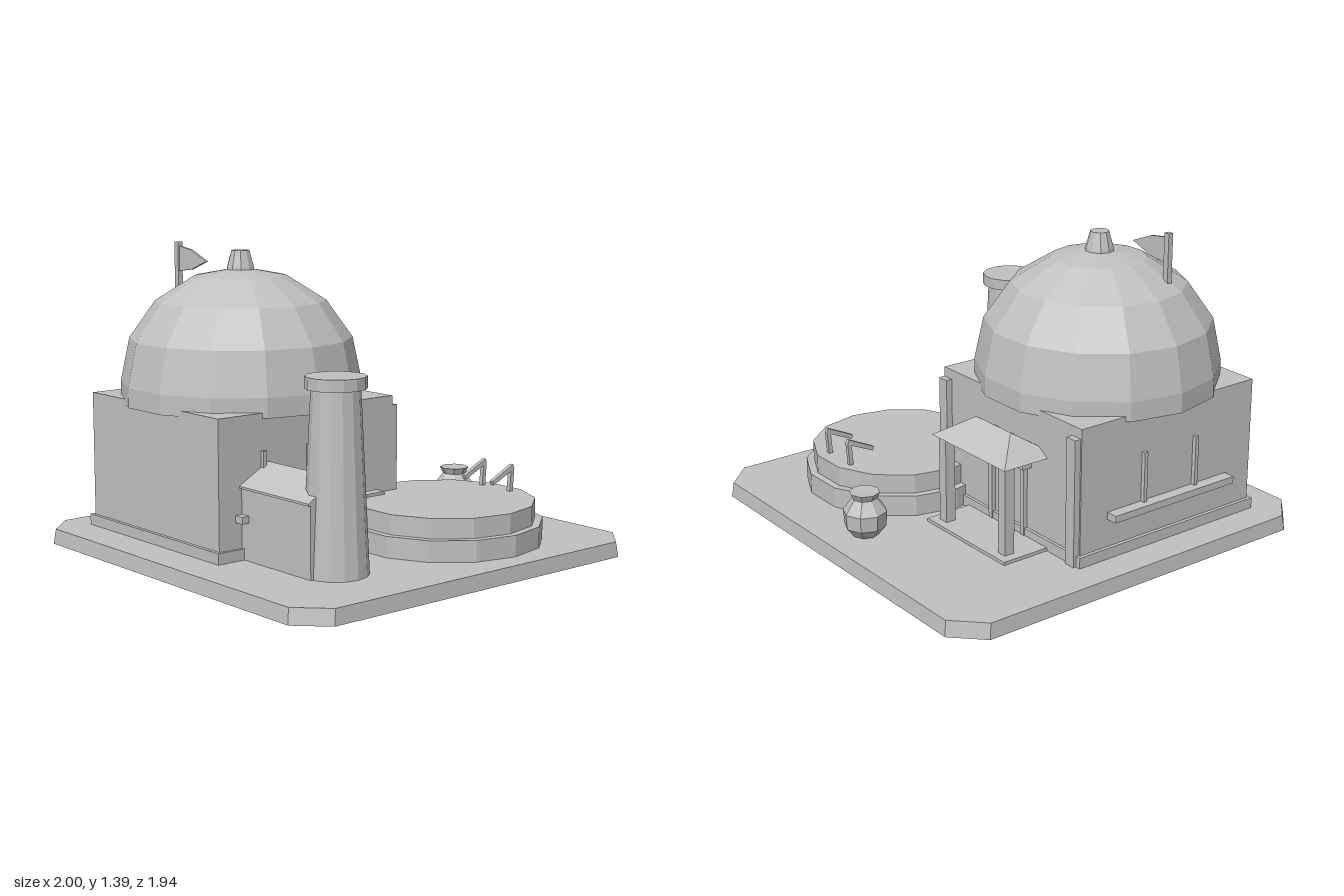
import * as THREE from 'three';

const stone = new THREE.MeshStandardMaterial({ color: 0xc0c0c0, flatShading: true, side: THREE.DoubleSide });
stone.name = 'pale stone';

export function createModel() {
  const root = new THREE.Group();
  root.name = 'domedHouse';

  const add = (name, geometry) => {
    const mesh = new THREE.Mesh(geometry, stone);
    mesh.name = name;
    root.add(mesh);
    return mesh;
  };
  // Box given by its extents on each axis
  const box = (name, x0, x1, y0, y1, z0, z1) => {
    const m = add(name, new THREE.BoxGeometry(x1 - x0, y1 - y0, z1 - z0));
    m.position.set((x0 + x1) / 2, (y0 + y1) / 2, (z0 + z1) / 2);
    return m;
  };
  // Faceted turned part with a corner pointing along x
  const turned = (name, x, z, sides, profile) => {
    const pts = profile.map(([r, y]) => new THREE.Vector2(r, y));
    const m = add(name, new THREE.LatheGeometry(pts, sides, Math.PI / 2));
    m.position.set(x, 0, z);
    return m;
  };
  const faces = (points, index) => {
    const g = new THREE.BufferGeometry();
    g.setAttribute('position', new THREE.Float32BufferAttribute(points.flat(), 3));
    g.setIndex(index);
    const flat = g.toNonIndexed();
    flat.computeVertexNormals();
    return flat;
  };

  // Ground slab: chamfered, slightly tapered, open underneath
  const ring = (hx, hz, y, c = 0.13) => [
    [hx, y, hz - c], [hx, y, c - hz], [hx - c, y, -hz], [c - hx, y, -hz],
    [-hx, y, c - hz], [-hx, y, hz - c], [c - hx, y, hz], [hx - c, y, hz],
  ];
  const slabIndex = [];
  for (let i = 0; i < 8; i++) {
    const j = (i + 1) % 8;
    slabIndex.push(i, j, 8 + j, i, 8 + j, 8 + i);
    if (i > 0 && i < 7) slabIndex.push(8, 8 + i, 9 + i);
  }
  add('groundSlab', faces([...ring(1, 0.972, 0), ...ring(0.992, 0.963, 0.07)], slabIndex));

  // House walls and plinth boards
  const cx = -0.337, cz = 0.27;
  box('houseWalls', -0.825, 0.15, 0.07, 0.7, -0.23, 0.768);
  box('plinthFront', -0.842, 0.166, 0.05, 0.12, 0.755, 0.785);
  box('plinthBack', -0.842, 0.166, 0.05, 0.12, -0.245, -0.215);
  box('plinthLeft', 0.136, 0.166, 0.05, 0.12, -0.245, 0.785);
  box('plinthRight', -0.842, -0.812, 0.05, 0.12, -0.245, 0.785);
  for (const x of [-0.79, 0.122]) box('cornerPilaster', x - 0.028, x + 0.028, 0.07, 0.655, -0.26, -0.22);

  // Dome: drum and elliptical cap
  const dome = [[0, 0.675], [0.556, 0.675], [0.556, 0.765]];
  for (let i = 1; i <= 4; i++) {
    const a = i * Math.PI / 8;
    dome.push([Math.max(0, 0.556 * Math.cos(a)), 0.765 + 0.525 * Math.sin(a)]);
  }
  turned('dome', cx, cz, 14, dome);
  turned('finial', cx, cz, 10, [[0.067, 1.27], [0.064, 1.29], [0.043, 1.365], [0, 1.365]]);

  // Flag
  box('flagPole', -0.645, -0.617, 1.15, 1.395, 0.395, 0.42);
  const flag = new THREE.Shape();
  flag.moveTo(-0.617, 1.26);
  flag.lineTo(-0.525, 1.272);
  flag.lineTo(-0.41, 1.315);
  flag.lineTo(-0.525, 1.362);
  flag.lineTo(-0.617, 1.375);
  add('flag', new THREE.ExtrudeGeometry(flag, { depth: 0.012, bevelEnabled: false })).position.z = 0.4;

  // Side windows: long sills with slim bars
  box('leftSill', 0.15, 0.2, 0.238, 0.27, -0.14, 0.68);
  for (const z of [0.02, 0.275, 0.53]) box('leftWindowBar', 0.15, 0.168, 0.27, 0.536, z - 0.009, z + 0.009);
  box('rightSill', -0.88, -0.825, 0.25, 0.283, -0.08, 0.62);
  for (const z of [0.12, 0.42]) box('rightWindowBar', -0.845, -0.825, 0.283, 0.515, z - 0.009, z + 0.009);

  // Gabled annex joining the chimney
  const gable = new THREE.Shape();
  gable.moveTo(-0.145, 0.07);
  gable.lineTo(0.145, 0.07);
  gable.lineTo(0.145, 0.385);
  gable.lineTo(0.157, 0.385);
  gable.lineTo(0.157, 0.395);
  gable.lineTo(0, 0.485);
  gable.lineTo(-0.157, 0.395);
  gable.lineTo(-0.157, 0.385);
  gable.lineTo(-0.145, 0.385);
  const annex = add('annex', new THREE.ExtrudeGeometry(gable, { depth: 0.47, bevelEnabled: false }));
  annex.rotation.y = Math.PI / 2;
  annex.position.set(0.145, 0, 0.5);

  // Chimney
  turned('chimney', 0.595, 0.492, 14, [
    [0.143, 0.07], [0.105, 0.857], [0.132, 0.857], [0.132, 0.909], [0, 0.909],
  ]);

  // Back porch: floor, posts, hipped roof, door frame
  box('porchFloor', -0.62, -0.053, 0.05, 0.085, -0.48, -0.23);
  for (const x of [-0.55, -0.12]) box('porchPost', x - 0.025, x + 0.025, 0.085, 0.5, -0.44, -0.39);
  add('porchRoof', faces([
    [-0.6, 0.495, -0.462], [-0.072, 0.495, -0.462], [-0.072, 0.495, -0.17], [-0.6, 0.495, -0.17],
    [-0.455, 0.59, -0.318], [-0.21, 0.59, -0.318],
  ], [0, 4, 5, 0, 5, 1, 1, 5, 2, 2, 5, 4, 2, 4, 3, 3, 4, 0, 0, 1, 2, 0, 2, 3]));
  for (const x of [-0.45, -0.22]) box('doorJamb', x - 0.012, x + 0.012, 0.085, 0.415, -0.25, -0.23);
  box('doorLintel', -0.49, -0.18, 0.415, 0.442, -0.278, -0.23);

  // Round two-tier pool
  turned('pool', 0.435, -0.288, 14, [
    [0.453, 0.07], [0.453, 0.166], [0.418, 0.166], [0.418, 0.256], [0, 0.256],
  ]);

  // Bent handrails on the pool edge
  const rail = new THREE.Shape();
  [[-0.515, 0.298], [-0.508, 0.317], [-0.642, 0.381], [-0.65, 0.365], [-0.641, 0.25],
    [-0.621, 0.25], [-0.629, 0.35]].forEach(([z, y], i) => (i ? rail.lineTo(-z, y) : rail.moveTo(-z, y)));
  for (const x of [0.341, 0.519]) {
    const m = add('handrail', new THREE.ExtrudeGeometry(rail, { depth: 0.02, bevelEnabled: false }));
    m.rotation.y = Math.PI / 2;
    m.position.x = x - 0.01;
  }

  // Eight-sided jar
  turned('jar', 0.01, -0.772, 8, [
    [0, 0.07], [0.058, 0.07], [0.095, 0.115], [0.1, 0.185], [0.055, 0.245], [0.07, 0.275], [0, 0.27],
  ]);

  return root;
}
